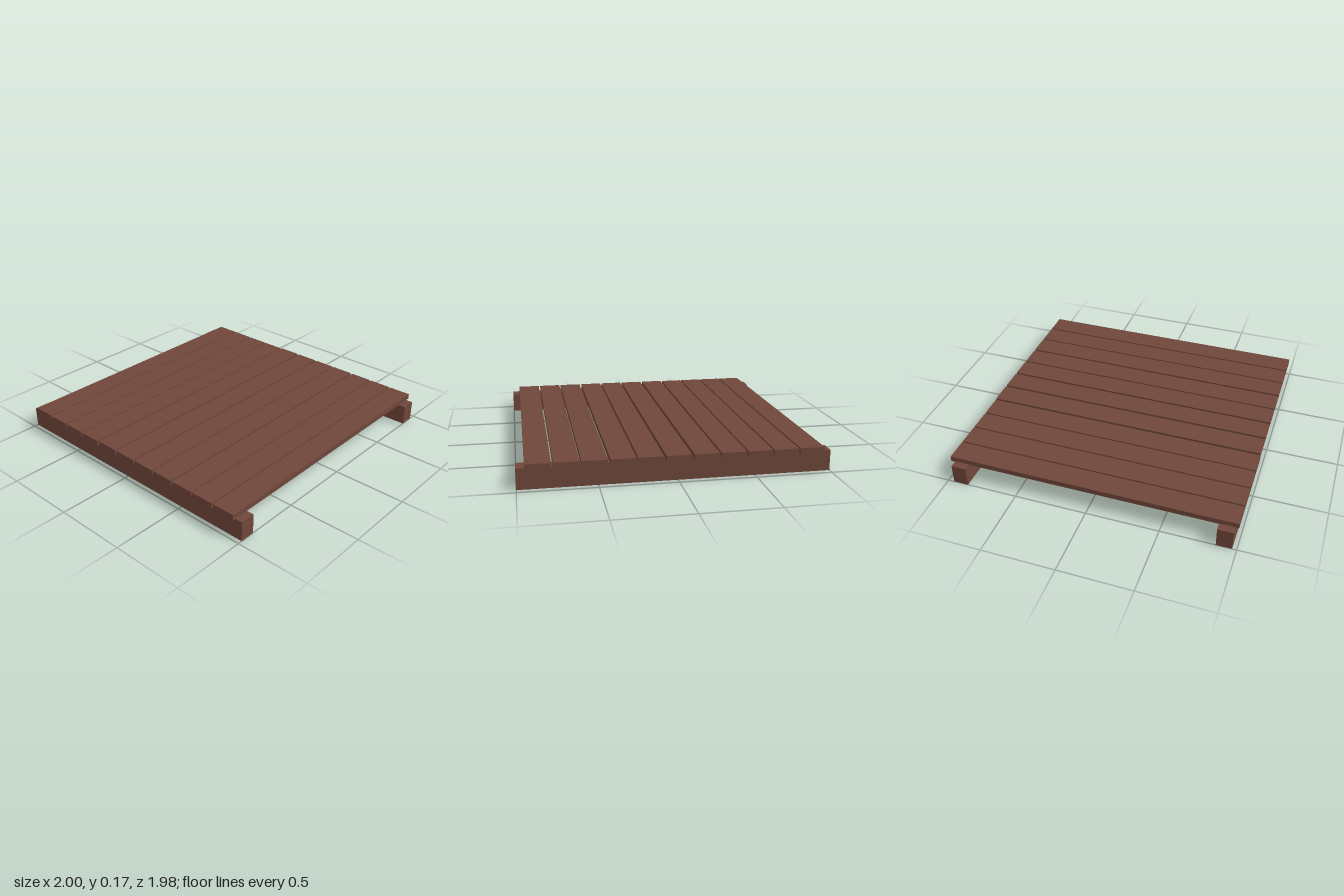
import * as THREE from 'three';

export function createModel() {
  const model = new THREE.Group();
  model.name = 'slattedPlatform';
  const wood = new THREE.MeshStandardMaterial({ color: 0x70473a, flatShading: true });

  function addBoard(name, size, position) {
    const board = new THREE.Mesh(new THREE.BoxGeometry(...size), wood);
    board.name = name;
    board.position.set(...position);
    model.add(board);
  }

  // Two bearers along x, standing on the ground
  addBoard('frontBearer', [2, 0.138, 0.104], [0, 0.069, 0.919]);
  addBoard('backBearer', [2, 0.138, 0.104], [0, 0.069, -0.905]);

  // Eleven slats along z, slightly unevenly spaced and let into the bearers;
  // the first four sit a touch lower and further forward
  const slatCentres = [-0.866, -0.695, -0.524, -0.353, -0.177, 0, 0.176, 0.348, 0.524, 0.695, 0.867];
  slatCentres.forEach((x, i) => {
    const shifted = i < 4;
    addBoard(`slat${i + 1}`, [0.16, 0.037, 1.98], [x, shifted ? 0.152 : 0.154, shifted ? 0.002 : -0.002]);
  });

  return model;
}
